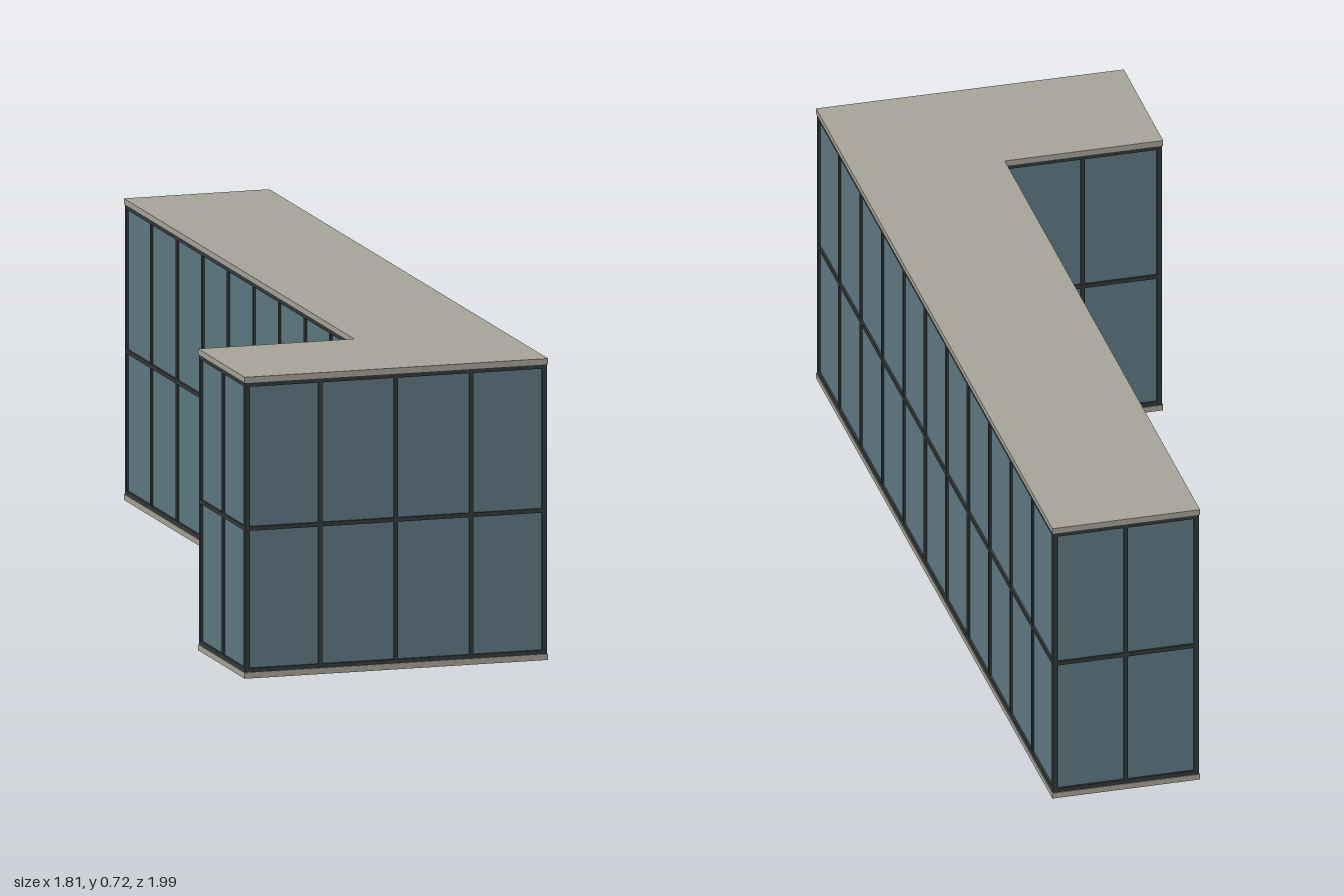
import * as THREE from 'three';

// Footprint corners (x, z), and the number of window bays on the wall that starts at each
const CORNERS = [[-0.66, -0.995], [0.902, 0.45], [0.393, 0.995], [0.13, 0.75], [0.391, 0.468], [-0.903, -0.732]]
  .map(([x, z]) => new THREE.Vector2(x, z));
const BAYS = [11, 4, 2, 2, 9, 2];
const HEIGHT = 0.72, SLAB = 0.014, RAIL = 0.01;
const GLASS_INSET = 0.007, FRAME_INSET = 0.002;

const slabMat = new THREE.MeshStandardMaterial({ color: 0xa8a599 });
const frameMat = new THREE.MeshStandardMaterial({ color: 0x34393a });
const glassMat = new THREE.MeshStandardMaterial({ color: 0x5f7984 });

// Outward normal of the wall from corner i to the next
function wallNormal(i) {
  const n = CORNERS.length;
  const d = CORNERS[(i + 1) % n].clone().sub(CORNERS[(i + n) % n]).normalize();
  return new THREE.Vector2(d.y, -d.x);
}

// Footprint moved inwards; all corners are square
function insetFootprint(inset) {
  return CORNERS.map((p, i) => p.clone()
    .addScaledVector(wallNormal(i), -inset)
    .addScaledVector(wallNormal(i - 1), -inset));
}

// Footprint prism between two heights
function prism(name, inset, y0, y1, material) {
  const geo = new THREE.ExtrudeGeometry(new THREE.Shape(insetFootprint(inset)),
    { depth: y1 - y0, bevelEnabled: false });
  geo.rotateX(Math.PI / 2).translate(0, y1, 0);
  const mesh = new THREE.Mesh(geo, material);
  mesh.name = name;
  return mesh;
}

// Upright mullions at the bay divisions of one wall
function wallMullions(i, corners) {
  const group = new THREE.Group();
  group.name = `mullionsWall${i + 1}`;
  const a = corners[i], b = corners[(i + 1) % corners.length];
  const width = 0.01, depth = 0.012;
  const length = a.distanceTo(b);
  const dir = b.clone().sub(a).normalize();
  const normal = wallNormal(i);
  const geo = new THREE.BoxGeometry(width, HEIGHT - 2 * SLAB, depth);
  for (let k = 0; k <= BAYS[i]; k++) {
    const s = THREE.MathUtils.clamp(length * k / BAYS[i], width / 2, length - width / 2);
    const p = a.clone().addScaledVector(dir, s).addScaledVector(normal, -depth / 2);
    const mullion = new THREE.Mesh(geo, frameMat);
    mullion.name = 'mullion';
    mullion.position.set(p.x, HEIGHT / 2, p.y);
    mullion.rotation.y = -Math.atan2(dir.y, dir.x);
    group.add(mullion);
  }
  return group;
}

export function createModel() {
  const model = new THREE.Group();
  model.name = 'glazedBuilding';

  // Floor and roof slabs with the glazed body between
  model.add(prism('floorSlab', 0, 0, SLAB, slabMat));
  model.add(prism('roofSlab', 0, HEIGHT - SLAB, HEIGHT, slabMat));
  model.add(prism('glazing', GLASS_INSET, SLAB, HEIGHT - SLAB, glassMat));

  // Horizontal rails: sill, middle and head
  const mid = HEIGHT / 2 - 0.003;
  model.add(prism('sillRail', FRAME_INSET, SLAB, SLAB + RAIL, frameMat));
  model.add(prism('middleRail', FRAME_INSET, mid - RAIL / 2, mid + RAIL / 2, frameMat));
  model.add(prism('headRail', FRAME_INSET, HEIGHT - SLAB - RAIL, HEIGHT - SLAB, frameMat));

  // Mullions around every wall
  const frameCorners = insetFootprint(FRAME_INSET);
  CORNERS.forEach((_, i) => model.add(wallMullions(i, frameCorners)));

  return model;
}
